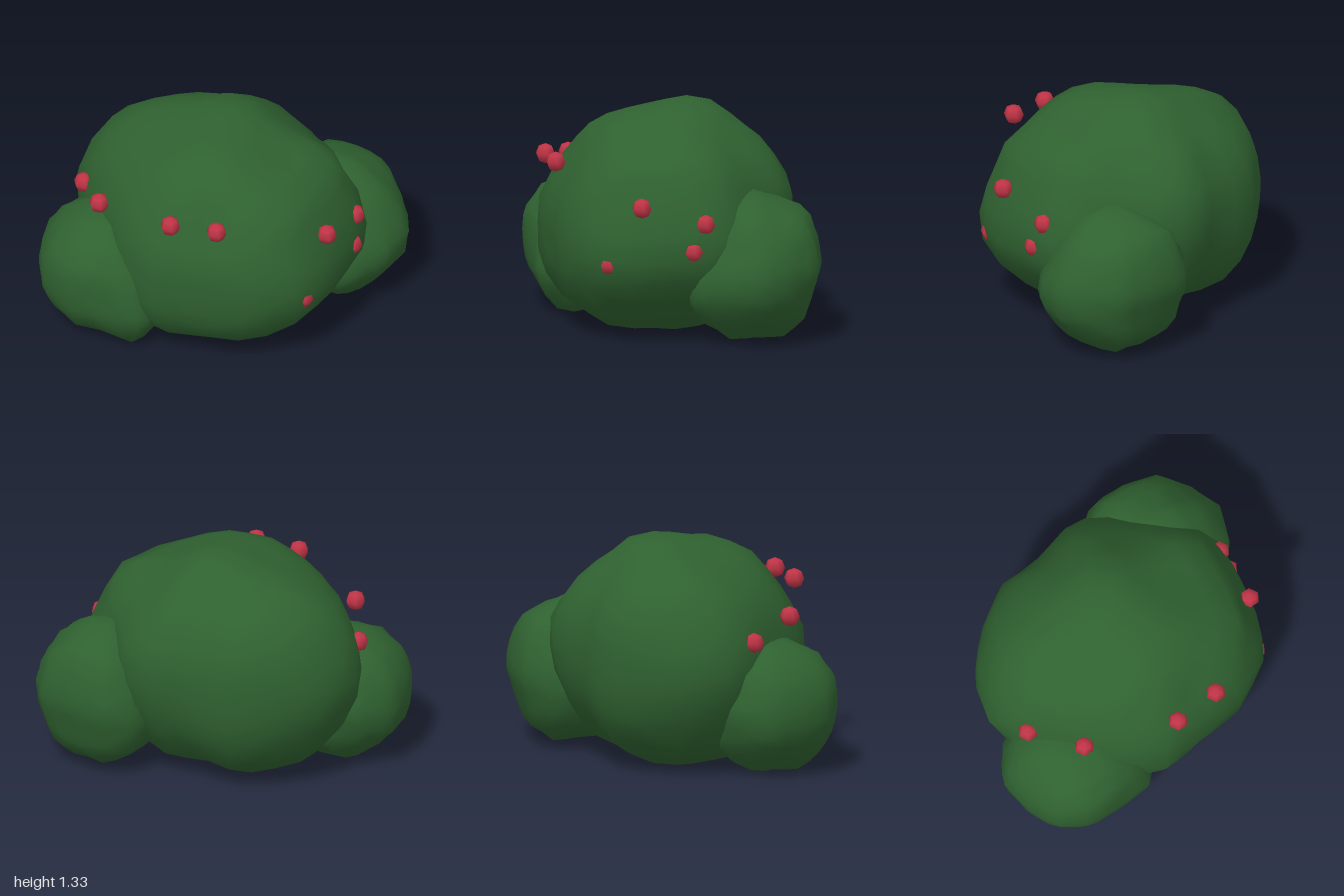
import * as THREE from 'three';
import { mergeVertices } from 'three/addons/utils/BufferGeometryUtils.js';

const leafGreen = new THREE.MeshStandardMaterial({ color: 0x2f6130 });
leafGreen.name = 'leafGreen';
const berryRed = new THREE.MeshStandardMaterial({ color: 0xc03446 });
berryRed.name = 'berryRed';

const cross = (a, b) => a[0] * b[1] - a[1] * b[0];

// Returns a function giving (1 / distance to the outline)^2 along a 2D direction
function outlineGauge(points, cu, cv) {
  const pts = points.map(([u, v]) => [u - cu, v - cv])
    .sort((a, b) => Math.atan2(a[1], a[0]) - Math.atan2(b[1], b[0]));
  return (u, v) => {
    const d = [u, v];
    for (let i = 0; i < pts.length; i++) {
      const p = pts[i], q = pts[(i + 1) % pts.length];
      if (cross(p, d) >= -1e-9 && cross(d, q) >= -1e-9) {
        return (cross(d, [q[0] - p[0], q[1] - p[1]]) / cross(p, q)) ** 2;
      }
    }
    return 0;
  };
}

// Rounded clump whose front (x,y), side (z,y) and top (x,z) sections follow three outlines;
// bumps are [direction, relative height, sharpness]
function clump(name, [cx, cy, cz], front, side, top, bumps) {
  const f = outlineGauge(front, cx, cy);
  const s = outlineGauge(side, cz, cy);
  const t = outlineGauge(top, cx, cz);
  const lumps = bumps.map(([dir, height, sharp]) => (
    { dir: new THREE.Vector3(...dir).normalize(), height, sharp }));
  const geo = new THREE.IcosahedronGeometry(1, 5);
  geo.deleteAttribute('uv');
  geo.deleteAttribute('normal');
  const merged = mergeVertices(geo, 1e-4);
  const pos = merged.attributes.position;
  const v = new THREE.Vector3();
  for (let i = 0; i < pos.count; i++) {
    const { x, y, z } = v.fromBufferAttribute(pos, i);
    // ellipsoid through the axis points, corrected by each outline
    const base = (f(x, 0) + t(x, 0) + f(0, y) + s(0, y) + s(z, 0) + t(0, z)) / 2;
    const k = Math.max(f(x, y) + s(z, y) + t(x, z) - base, base * 0.6);
    let r = 1 / Math.sqrt(k);
    for (const b of lumps) r *= 1 + b.height * Math.exp(b.sharp * (v.dot(b.dir) - 1));
    pos.setXYZ(i, cx + x * r, Math.max(0, cy + y * r), cz + z * r);
  }
  merged.computeVertexNormals();
  const mesh = new THREE.Mesh(merged, leafGreen);
  mesh.name = name;
  return mesh;
}

export function createModel() {
  const group = new THREE.Group();
  group.name = 'berryBush';

  // Large central foliage
  group.add(clump('mainFoliage', [-0.04, 0.66, 0.02],
    [[-0.91, 0.7], [-0.84, 0.91], [-0.71, 1.1], [-0.47, 1.21], [-0.05, 1.32], [0.1, 1.3],
      [0.26, 1.22], [0.64, 1.07], [0.76, 0.8], [0.82, 0.55], [0.72, 0.33], [0.5, 0.13],
      [0.23, 0], [-0.35, 0], [-0.6, 0.1], [-0.78, 0.28], [-0.88, 0.48]],
    [[0.46, 1.21], [0.6, 1.05], [0.72, 0.83], [0.77, 0.7], [0.75, 0.35], [0.63, 0.15],
      [0.4, 0.04], [0.2, 0], [-0.17, 0], [-0.45, 0.12], [-0.62, 0.3], [-0.7, 0.52],
      [-0.7, 0.76], [-0.66, 0.9], [-0.54, 1.08], [-0.37, 1.21], [-0.17, 1.33], [0.05, 1.31], [0.25, 1.27]],
    [[-0.91, 0.05], [-0.85, -0.23], [-0.67, -0.44], [-0.44, -0.6], [-0.1, -0.62], [0.15, -0.7],
      [0.34, -0.62], [0.6, -0.43], [0.82, -0.22], [0.82, 0], [0.78, 0.27], [0.66, 0.53],
      [0.42, 0.7], [0.1, 0.74], [-0.17, 0.77], [-0.42, 0.65], [-0.62, 0.45], [-0.8, 0.22]],
    [[[0, 0.66, -0.22], 0.02, 18], [[-0.76, 0.14, 0.22], 0.035, 20], [[0.5, 0.17, -0.45], -0.06, 12],
      [[0.25, -0.3, -0.6], -0.08, 10], [[0.6, 0, 0.5], 0.02, 14], [[-0.4, 0.1, -0.6], -0.04, 9],
      [[0.85, 0, -0.24], 0.02, 20], [[0.3, 0.55, 0.3], 0.06, 18], [[-0.5, 0.42, -0.45], 0.03, 14]]));

  // Small foliage at the front
  group.add(clump('frontFoliage', [-0.6, 0.39, 0.4],
    [[-1, 0.39], [-0.97, 0.55], [-0.87, 0.68], [-0.7, 0.77], [-0.5, 0.77], [-0.36, 0.68],
      [-0.22, 0.48], [-0.17, 0.22], [-0.34, 0.01], [-0.72, 0.02], [-0.86, 0.12], [-0.97, 0.24]],
    [[0.79, 0.4], [0.78, 0.55], [0.67, 0.69], [0.5, 0.77], [0.3, 0.77], [0.12, 0.68],
      [0, 0.4], [0.07, 0.16], [0.23, 0.01], [0.57, 0], [0.7, 0.12], [0.77, 0.24]],
    [[-1, 0.3], [-0.97, 0.5], [-0.89, 0.68], [-0.71, 0.79], [-0.5, 0.78], [-0.28, 0.73],
      [-0.18, 0.45], [-0.27, 0.18], [-0.5, 0], [-0.7, 0], [-0.89, 0.11]],
    [[[0.4, -0.15, 0.2], 0.05, 10]]));

  // Small foliage at the back
  group.add(clump('backFoliage', [0.57, 0.45, -0.4],
    [[1, 0.44], [0.94, 0.6], [0.85, 0.73], [0.68, 0.85], [0.5, 0.88], [0.3, 0.78],
      [0.17, 0.55], [0.16, 0.35], [0.26, 0.15], [0.45, 0.03], [0.7, 0.03], [0.86, 0.15], [0.97, 0.28]],
    [[-0.8, 0.44], [-0.78, 0.6], [-0.72, 0.76], [-0.57, 0.83], [-0.39, 0.89], [-0.24, 0.82],
      [-0.1, 0.62], [-0.02, 0.45], [0.01, 0.28], [-0.07, 0.15], [-0.24, 0.03], [-0.55, 0.03], [-0.7, 0.14]],
    [[1, -0.4], [0.93, -0.57], [0.79, -0.75], [0.55, -0.8], [0.34, -0.8], [0.2, -0.67],
      [0.15, -0.4], [0.25, -0.15], [0.5, 0], [0.75, -0.02], [0.93, -0.2]],
    [[[-0.4, -0.15, -0.2], 0.07, 10]]));

  // Low-poly berries
  const berryGeo = new THREE.SphereGeometry(0.06, 6, 4);
  const berries = new THREE.Group();
  berries.name = 'berries';
  for (const [x, y, z] of [
    [-0.07, 1.01, 0.74], [0.21, 1.02, 0.72], [-0.59, 0.9, 0.53], [-0.79, 0.8, 0.24],
    [0.74, 0.84, 0.29], [0.78, 0.74, -0.08], [0.79, 0.58, -0.01], [0.66, 0.49, 0.47],
  ]) {
    const berry = new THREE.Mesh(berryGeo, berryRed);
    berry.name = 'berry';
    berry.position.set(x, y, z);
    berries.add(berry);
  }
  group.add(berries);
  return group;
}
